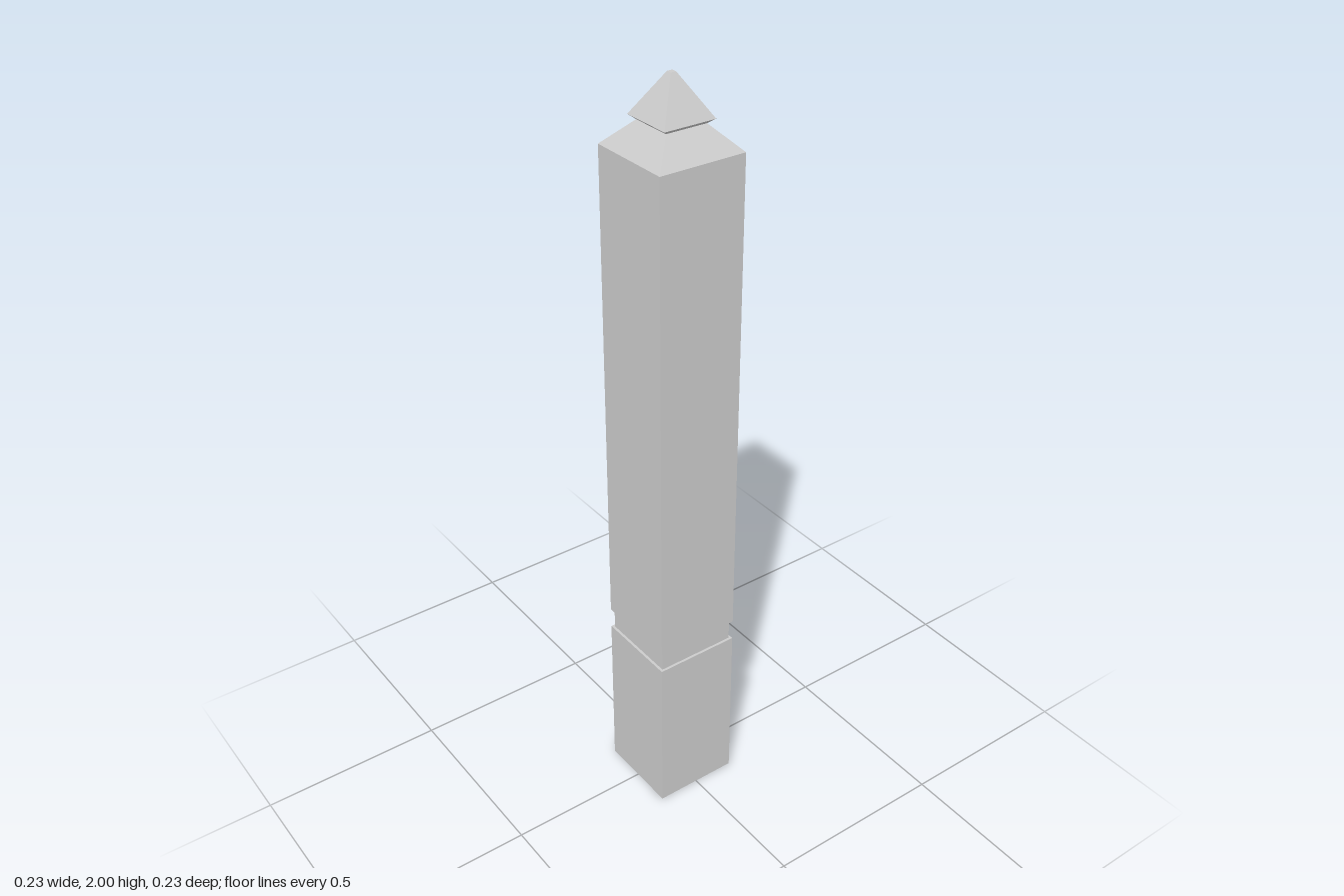
import * as THREE from 'three';

const material = new THREE.MeshStandardMaterial({ color: 0xcccccc, flatShading: true });

// Square block between two heights, with half-widths at its bottom and top
function squareBlock(name, y0, y1, halfBottom, halfTop, openEnded = false) {
  const geometry = new THREE.CylinderGeometry(
    halfTop * Math.SQRT2, halfBottom * Math.SQRT2, y1 - y0, 4, 1, openEnded);
  geometry.rotateY(Math.PI / 4);
  geometry.translate(0, (y0 + y1) / 2, 0);
  const mesh = new THREE.Mesh(geometry, material);
  mesh.name = name;
  return mesh;
}

export function createModel() {
  const post = new THREE.Group();
  post.name = 'post';

  // Base and shaft, parted by a shallow recessed groove
  post.add(squareBlock('base', 0, 0.46, 0.116, 0.116));
  post.add(squareBlock('groove', 0.46, 0.517, 0.109, 0.109, true));
  post.add(squareBlock('shaft', 0.517, 1.828, 0.116, 0.116));

  // Sloped shoulder up to the neck
  post.add(squareBlock('shoulder', 1.828, 1.889, 0.116, 0.055));

  // Pointed finial with an undercut rim and a tiny flat tip
  const finial = new THREE.Group();
  finial.name = 'finial';
  finial.add(squareBlock('finialUndercut', 1.889, 1.9, 0.055, 0.069, true));
  finial.add(squareBlock('finialPoint', 1.9, 2, 0.069, 0.007));
  post.add(finial);

  return post;
}
